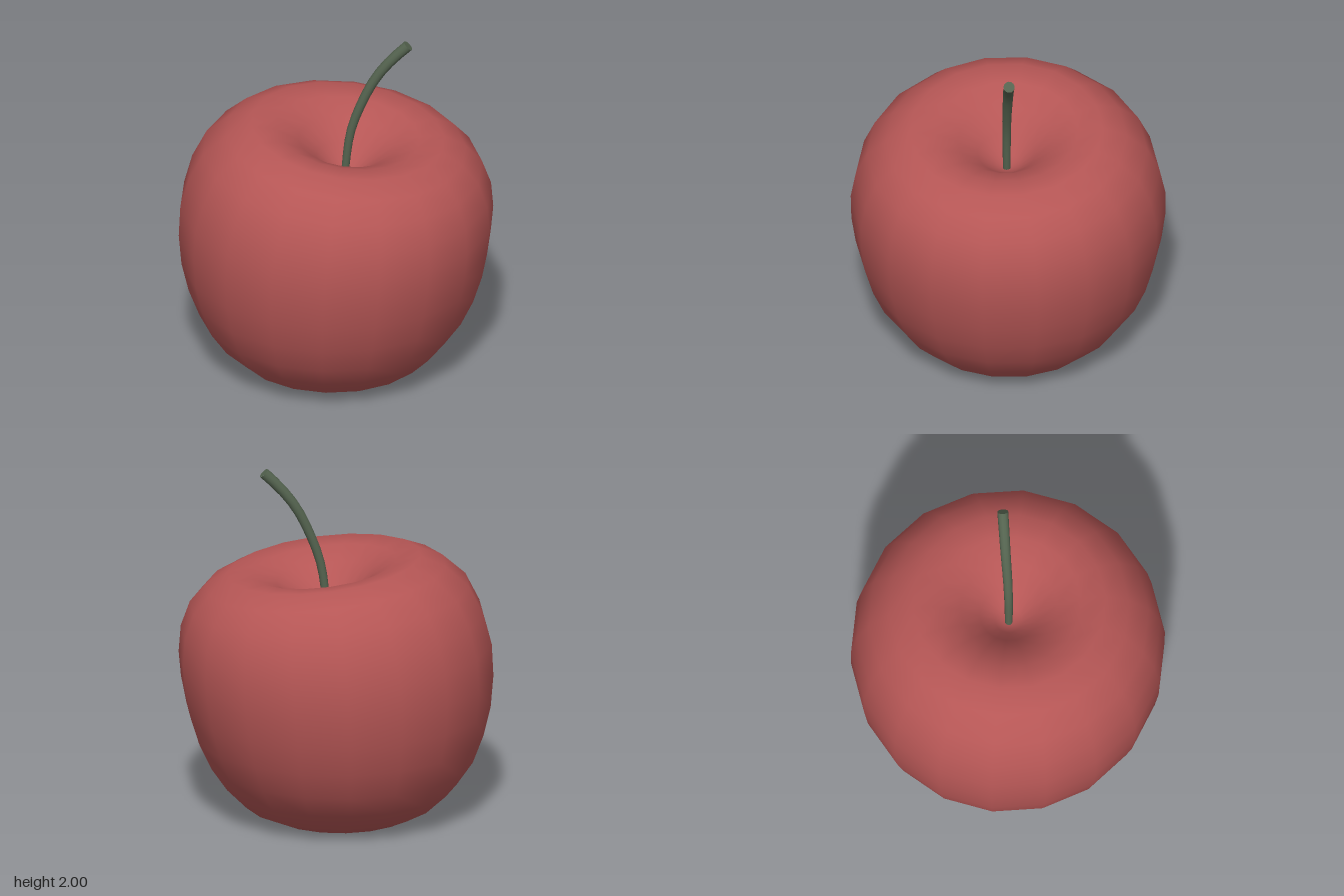
import * as THREE from 'three';
import { mergeVertices } from 'three/addons/utils/BufferGeometryUtils.js';

const SIDES = 18;

// Rings from bottom pole to top pole: radius, height, sideways shift, tilt slope
const RINGS = [
  [0, 0.16, -0.02, 0], [0.07, 0.145, -0.02, 0], [0.15, 0.09, -0.02, 0], [0.26, 0.03, -0.02, 0],
  [0.395, 0.005, -0.025, 0], [0.53, 0.068, -0.02, 0], [0.645, 0.18, -0.025, 0],
  [0.735, 0.31, -0.025, 0], [0.80, 0.465, -0.02, -0.006], [0.845, 0.63, -0.015, -0.012],
  [0.867, 0.795, -0.008, -0.03], [0.869, 0.955, 0.003, -0.052], [0.84, 1.115, 0.02, -0.066],
  [0.775, 1.265, 0.035, -0.084], [0.665, 1.375, 0.055, -0.105], [0.535, 1.438, 0.065, -0.117],
  [0.40, 1.425, 0.065, -0.117], [0.27, 1.365, 0.06, -0.117], [0.16, 1.27, 0.05, -0.117],
  [0.075, 1.19, 0.045, -0.117], [0, 1.16, 0.04, 0],
];

// Lathed fruit whose rings are shifted and tilted towards one side
function bodyGeometry() {
  const profile = RINGS.map(([r, y]) => new THREE.Vector2(r, y));
  let geo = new THREE.LatheGeometry(profile, SIDES, Math.PI / 2);
  const pos = geo.attributes.position;
  for (let i = 0; i < pos.count; i++) {
    const [, y, shift, slope] = RINGS[i % RINGS.length];
    const x = pos.getX(i);
    pos.setXY(i, x + shift, y + x * slope);
  }
  geo.deleteAttribute('uv');
  geo.deleteAttribute('normal');
  geo = mergeVertices(geo, 1e-4);
  geo.computeVertexNormals();
  return geo;
}

// Tube that widens along its path
function taperedTube(path, segments, r0, r1, sides) {
  const geo = new THREE.TubeGeometry(path, segments, 1, sides);
  const pos = geo.attributes.position;
  const v = new THREE.Vector3();
  for (let i = 0; i < pos.count; i++) {
    const t = Math.floor(i / (sides + 1)) / segments;
    const centre = path.getPointAt(t);
    v.fromBufferAttribute(pos, i).sub(centre).multiplyScalar(r0 + (r1 - r0) * t).add(centre);
    pos.setXYZ(i, v.x, v.y, v.z);
  }
  return geo;
}

export function createModel() {
  const model = new THREE.Group();
  const red = new THREE.MeshStandardMaterial({ color: 0xb55655 });
  red.name = 'fruit red';
  const green = new THREE.MeshStandardMaterial({ color: 0x54634f });
  green.name = 'stem green';

  const body = new THREE.Mesh(bodyGeometry(), red);
  body.name = 'fruitBody';
  model.add(body);

  // Curved stem rising out of the dimple
  const path = new THREE.CatmullRomCurve3([
    [0.045, 1.14, 0], [0.08, 1.43, -0.005], [0.135, 1.6, -0.016],
    [0.215, 1.77, -0.035], [0.3, 1.885, -0.052], [0.392, 1.979, -0.07],
  ].map((p) => new THREE.Vector3(...p)));
  const stem = new THREE.Group();
  stem.name = 'stem';
  const stalk = new THREE.Mesh(taperedTube(path, 12, 0.021, 0.031, 12), green);
  stalk.name = 'stalk';
  const tip = new THREE.Mesh(new THREE.CircleGeometry(0.031, 12), green);
  tip.name = 'stalkTip';
  tip.position.copy(path.getPointAt(1));
  tip.quaternion.setFromUnitVectors(new THREE.Vector3(0, 0, 1), path.getTangentAt(1));
  stem.add(stalk, tip);
  model.add(stem);

  return model;
}
